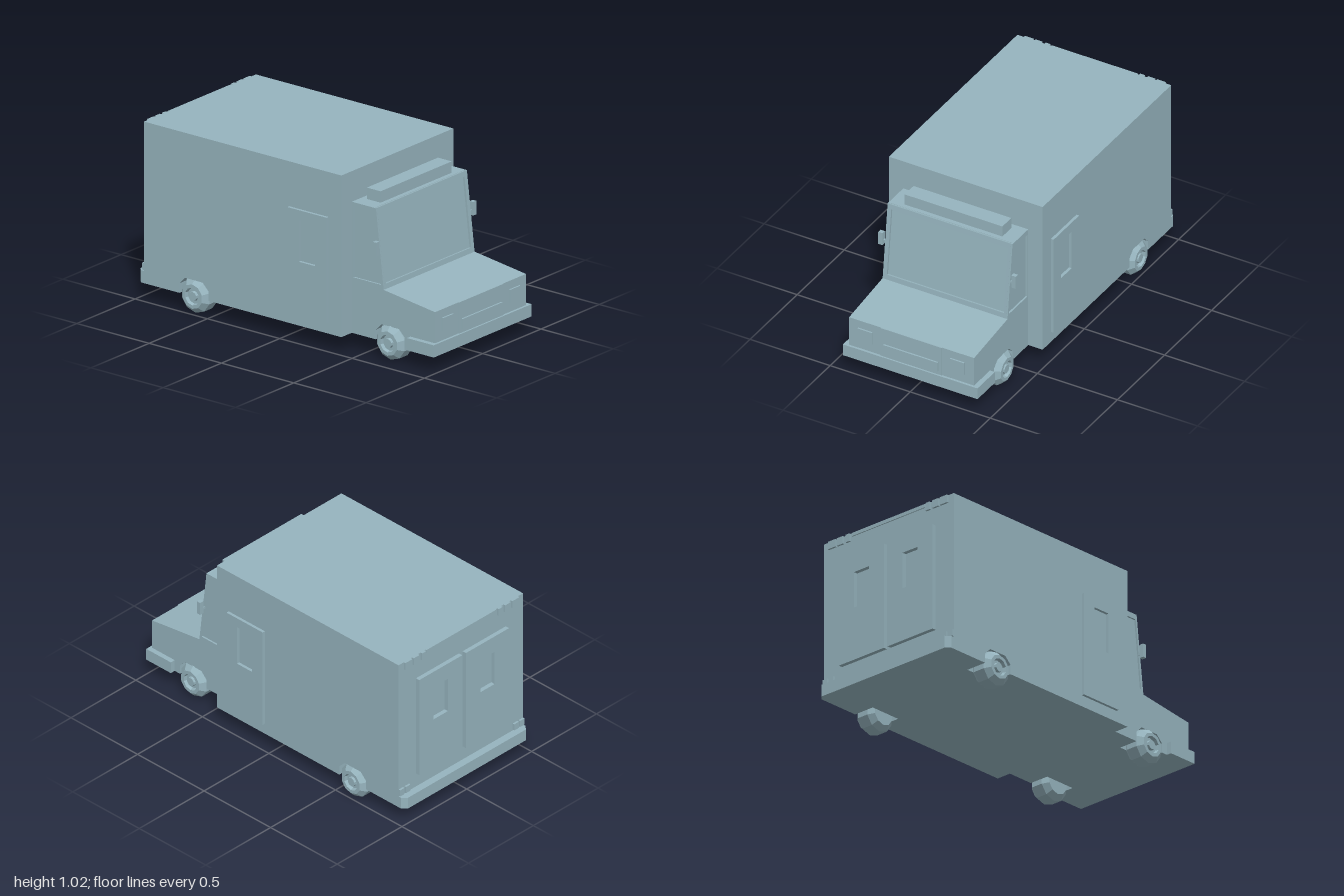
import * as THREE from 'three';

export function createModel() {
  const model = new THREE.Group();
  model.name = 'stepVan';
  const paint = new THREE.MeshStandardMaterial({ color: 0x96b4be });
  paint.name = 'blueGrey';

  const add = (name, geometry, parent = model) => {
    const mesh = new THREE.Mesh(geometry, paint);
    mesh.name = name;
    parent.add(mesh);
    return mesh;
  };
  // Box given by its limits on each axis
  const box = (name, x0, x1, y0, y1, z0, z1) =>
    add(name, new THREE.BoxGeometry(x1 - x0, y1 - y0, z1 - z0)
      .translate((x0 + x1) / 2, (y0 + y1) / 2, (z0 + z1) / 2));
  const polygon = (points, holes = []) => {
    const shape = new THREE.Shape(points.map(p => new THREE.Vector2(...p)));
    for (const h of holes) shape.holes.push(new THREE.Path(h.map(p => new THREE.Vector2(...p))));
    return shape;
  };
  const rect = (a0, a1, b0, b1) => [[a0, b0], [a1, b0], [a1, b1], [a0, b1]];
  const extrude = (shape, depth) => new THREE.ExtrudeGeometry(shape, { depth, bevelEnabled: false });
  // Slice of a (z, y) profile between two x positions
  const slice = (name, points, x0, x1, holes) =>
    add(name, extrude(polygon(points, holes), x1 - x0).rotateY(-Math.PI / 2).translate(x1, 0, 0));
  const slicePair = (name, points, x0, x1, holes) => {
    slice(name + 'Left', points, x0, x1, holes);
    slice(name + 'Right', points, -x1, -x0, holes);
  };
  const boxPair = (name, x0, x1, ...rest) => {
    box(name + 'Left', x0, x1, ...rest);
    box(name + 'Right', -x1, -x0, ...rest);
  };

  const floor = 0.095, frontAxle = 0.675, rearAxle = -0.61;
  const arch = c => [[c - 0.1, floor], [c - 0.1, 0.15], [c - 0.06, 0.19],
    [c + 0.06, 0.19], [c + 0.1, 0.15], [c + 0.1, floor]];

  // Cargo body with rear wheel arches cut into its sides
  box('cargoBody', -0.35, 0.35, floor, 1.02, -0.955, 0.41);
  slicePair('cargoSide', [[-0.955, floor], ...arch(rearAxle), [0.41, floor],
    [0.41, 1.02], [-0.955, 1.02]], 0.35, 0.48);

  // Cab: core set back behind the window frames, plus outer skins
  const cabProfile = (arches, inset) => [[0.41, floor], ...(arches ? arch(frontAxle) : []),
    [0.985, floor], [0.985, 0.343], [0.63, 0.39], [0.63 - inset, 0.392], [0.577 - inset, 0.845], [0.41, 0.845]];
  slice('cabCore', cabProfile(false, 0.012), -0.27, 0.27);
  slicePair('cabInnerSide', cabProfile(true, 0.012), 0.27, 0.38);
  const sideWindow = [[0.42, 0.415], [0.613, 0.415], [0.569, 0.815], [0.42, 0.815]];
  slicePair('cabSkin', cabProfile(true, 0.0005), 0.38, 0.39, [sideWindow]);

  // Windscreen frame, leaning back with the cab front
  const slope = Math.hypot(0.053, 0.455);
  const frame = add('windscreenFrame', extrude(
    polygon(rect(-0.38, 0.38, 0, slope), [rect(-0.365, 0.365, 0.03, slope - 0.03)]), 0.012));
  frame.geometry.translate(0, 0, -0.012);
  frame.position.set(0, 0.39, 0.63);
  frame.rotation.x = -Math.atan2(0.053, 0.455);

  box('roofSign', -0.305, 0.305, 0.845, 0.91, 0.445, 0.54);

  // Nose details
  box('frontBumper', -0.42, 0.42, floor, 0.165, 0.815, 1.0);
  box('grillePanel', -0.19, 0.19, 0.165, 0.343, 0.98, 0.99);
  box('grilleBar', -0.17, 0.17, 0.187, 0.246, 0.985, 1.0);
  boxPair('headlight', 0.243, 0.333, 0.22, 0.295, 0.98, 0.995);

  // Door mirrors
  boxPair('mirrorArm', 0.385, 0.41, 0.607, 0.62, 0.59, 0.602);
  boxPair('mirror', 0.402, 0.429, 0.588, 0.666, 0.586, 0.61);

  // Side doors with recessed windows
  slicePair('sideDoor', rect(0.05, 0.322, 0.16, 0.763), 0.478, 0.497, [rect(0.13, 0.242, 0.468, 0.705)]);

  // Rear doors with recessed windows
  for (const s of [-1, 1]) {
    const c = s * 0.18;
    add(s > 0 ? 'rearDoorLeft' : 'rearDoorRight', extrude(
      polygon(rect(c - 0.166, c + 0.166, 0.25, 0.87), [rect(c - 0.055, c + 0.055, 0.56, 0.77)]),
      0.027).translate(0, 0, -0.98));
  }

  // Rear bumper with chamfered corners
  add('rearBumper', extrude(polygon([[-0.48, 0.953], [0.48, 0.953], [0.48, 0.975],
    [0.455, 1.0], [-0.455, 1.0], [-0.48, 0.975]]), 0.07)
    .rotateX(-Math.PI / 2).translate(0, floor, 0));

  // Rear lamps and top rail
  box('rearTopRail', -0.27, 0.27, 1.0, 1.02, -0.961, -0.95);
  for (const [x0, x1] of [[0.385, 0.44], [0.33, 0.375], [0.28, 0.31]])
    boxPair('rearTopLamp', x0, x1, 0.975, 1.02, -0.967, -0.95);
  for (const [x0, x1] of [[0.445, 0.48], [0.4, 0.435]])
    boxPair('tailLamp', x0, x1, 0.17, 0.21, -0.967, -0.95);

  // Ten-sided faceted wheels with chamfered tyres, recessed rim and hub cap
  const profile = [[0, -0.065], [0.07, -0.065], [0.1, -0.035], [0.1, 0.035], [0.07, 0.065],
    [0.05, 0.065], [0.045, 0.045], [0.028, 0.045], [0.026, 0.062], [0, 0.062]]
    .map(p => new THREE.Vector2(...p));
  const wheelGeometry = new THREE.LatheGeometry(profile, 10, Math.PI / 2).toNonIndexed();
  wheelGeometry.computeVertexNormals();
  wheelGeometry.rotateZ(-Math.PI / 2);
  for (const [label, x, z] of [['front', 0.35, frontAxle], ['rear', 0.43, rearAxle]])
    for (const s of [-1, 1]) {
      const wheel = add(label + (s > 0 ? 'WheelLeft' : 'WheelRight'), wheelGeometry);
      wheel.position.set(s * x, 0.1, z);
      if (s < 0) wheel.rotation.y = Math.PI;
    }

  return model;
}
